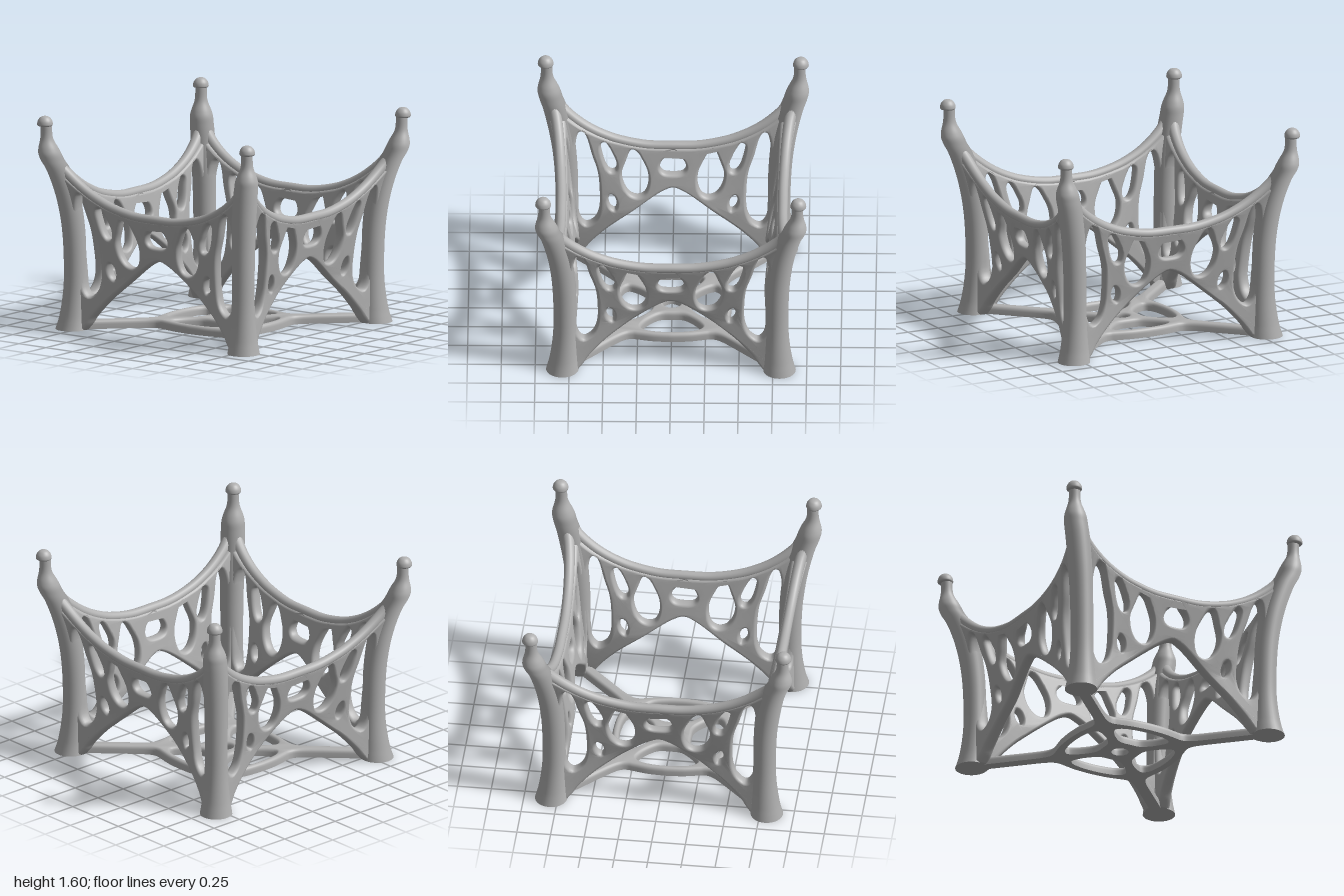
import * as THREE from 'three';
import { mergeVertices, toCreasedNormals } from 'three/addons/utils/BufferGeometryUtils.js';

const V2 = (p) => new THREE.Vector2(p[0], p[1]);
const mirror = (pts) => pts.map(([x, y]) => [-x, y]).reverse();
const spline = (pts, n) => new THREE.SplineCurve(pts.map(V2)).getPoints(n);

// smooth closed outline through a few points
function loop(pts, n = 48) {
  const c = new THREE.CatmullRomCurve3(pts.map(([x, y]) => new THREE.Vector3(x, y, 0)), true);
  return c.getPoints(n).slice(0, n).map((p) => new THREE.Vector2(p.x, p.y));
}

// post rule: diagonal offset, height, radius
const postCurve = new THREE.CatmullRomCurve3([
  [0.8, 0, 0.12], [0.795, 0.04, 0.113], [0.79, 0.1, 0.104], [0.783, 0.25, 0.09], [0.781, 0.4, 0.084],
  [0.79, 0.75, 0.086], [0.82, 1.0, 0.09], [0.87, 1.2, 0.09], [0.9, 1.27, 0.088], [0.915, 1.32, 0.085],
  [0.922, 1.36, 0.074], [0.93, 1.42, 0.051], [0.932, 1.46, 0.044], [0.933, 1.54, 0.042],
].map((p) => new THREE.Vector3(...p)));
const postRings = postCurve.getPoints(78);

function postOffset(y) {
  for (let i = 1; i < postRings.length; i++) {
    const a = postRings[i - 1], b = postRings[i];
    if (y <= b.y) return a.x + (b.x - a.x) * Math.max(0, (y - a.y) / (b.y - a.y));
  }
  return postRings[postRings.length - 1].x;
}

// depth of a side panel: leaning inward in the middle, following the posts at the ends
const endness = (x) => Math.min(1, (x / 0.8) ** 2);
function panelDepth(x, y) {
  const middle = 0.733 + 0.2 * (Math.max(y, 0.4) - 0.5);
  return THREE.MathUtils.lerp(middle, postOffset(y), endness(x));
}

const railHalf = [[0.2, 0.908], [0.4, 0.948], [0.5, 0.983], [0.6, 1.03], [0.7, 1.093], [0.8, 1.175], [0.87, 1.25]];
const railPoints = [...mirror(railHalf), [0, 0.903], ...railHalf];

// halve long edges so that a flat sheet can bend smoothly
function subdivide(geo, limit) {
  const p = geo.attributes.position, out = [], stack = [];
  for (let i = 0; i < p.count; i += 3) stack.push([0, 1, 2].map((k) => new THREE.Vector3().fromBufferAttribute(p, i + k)));
  while (stack.length) {
    const t = stack.pop();
    const len = t.map((v, k) => v.distanceTo(t[(k + 1) % 3]));
    const k = len.indexOf(Math.max(...len));
    if (len[k] < limit) { out.push(...t); continue; }
    const a = t[k], b = t[(k + 1) % 3], c = t[(k + 2) % 3];
    const mid = a.clone().add(b).multiplyScalar(0.5);
    stack.push([a, mid, c], [mid, b, c]);
  }
  return new THREE.BufferGeometry().setFromPoints(out);
}

function panelGeometry() {
  const side = [[0.87, 1.25], [0.83, 1.1], [0.8, 0.9], [0.785, 0.6], [0.785, 0.3], [0.795, 0.1], [0.8, 0]];
  const archHalf = [[0.03, 0.582], [0.1, 0.545], [0.2, 0.472], [0.4, 0.31], [0.5, 0.22], [0.6, 0.11], [0.64, 0.05], [0.68, 0]];
  const arch = [...archHalf.slice().reverse(), [0, 0.587], ...mirror(archHalf).reverse()];
  const outline = [
    ...spline(railPoints, 70).slice(0, -1), ...spline(side, 24),
    ...spline(arch, 80), ...spline(mirror(side), 24).slice(0, -1),
  ];
  const shape = new THREE.Shape(outline.reverse());

  // openings on one half, mirrored to the other
  const openings = [
    [[0.69, 1.03], [0.718, 0.93], [0.712, 0.71], [0.7, 0.45], [0.683, 0.31], [0.64, 0.26], [0.58, 0.3],
      [0.545, 0.39], [0.54, 0.55], [0.556, 0.71], [0.6, 0.85], [0.636, 0.98], [0.663, 1.025]],
    [[0.53, 0.93], [0.522, 0.85], [0.487, 0.745], [0.455, 0.713], [0.425, 0.722], [0.418, 0.78],
      [0.44, 0.84], [0.47, 0.9], [0.505, 0.943]],
    [[0.46, 0.525], [0.475, 0.48], [0.46, 0.425], [0.43, 0.405], [0.415, 0.45], [0.43, 0.505]],
    [[0.305, 0.885], [0.348, 0.79], [0.375, 0.71], [0.375, 0.66], [0.353, 0.585], [0.31, 0.53],
      [0.257, 0.515], [0.21, 0.54], [0.182, 0.62], [0.187, 0.71], [0.22, 0.79], [0.265, 0.865]],
  ];
  for (const o of openings) for (const pts of [o, mirror(o)]) shape.holes.push(new THREE.Path(loop(pts)));
  const centre = [[0.04, 0.84], [0.085, 0.79], [0.095, 0.74], [0.07, 0.705]];
  shape.holes.push(new THREE.Path(loop([[0, 0.88], ...centre, [0, 0.695], ...mirror(centre)])));

  const depth = 0.016;
  const flat = new THREE.ExtrudeGeometry(shape, {
    depth, bevelEnabled: true, bevelSize: 0.022, bevelOffset: -0.022, bevelThickness: 0.032, bevelSegments: 4,
  });
  flat.translate(0, 0, -depth / 2);
  const geo = subdivide(flat, 0.08);
  const p = geo.attributes.position;
  for (let i = 0; i < p.count; i++) {
    const x = p.getX(i), y = p.getY(i);
    p.setZ(i, panelDepth(x, y) + p.getZ(i) * (1 + 0.5 * endness(x) ** 2));
  }
  const smooth = mergeVertices(geo, 1e-5);
  smooth.computeVertexNormals();
  return smooth;
}

// round rail that thickens toward the posts
function railGeometry() {
  const path = new THREE.CatmullRomCurve3(railPoints.map(([x, y]) => new THREE.Vector3(x, y, panelDepth(x, y) + 0.003)));
  const rings = 64, sides = 16;
  const geo = new THREE.TubeGeometry(path, rings, 0.037, sides);
  const p = geo.attributes.position, v = new THREE.Vector3();
  for (let i = 0; i < p.count; i++) {
    const c = path.getPointAt(Math.floor(i / (sides + 1)) / rings);
    v.fromBufferAttribute(p, i).sub(c).multiplyScalar(1 + 0.25 * Math.abs(c.x / 0.87) ** 4).add(c);
    p.setXYZ(i, v.x, v.y, v.z);
  }
  return geo;
}

// lathe bent outward along the corner diagonal
function postGeometry() {
  const geo = new THREE.LatheGeometry(postRings.map((r) => new THREE.Vector2(r.z, r.y)), 32);
  const p = geo.attributes.position;
  for (let i = 0; i < p.count; i++) {
    const c = postRings[i % postRings.length].x;
    p.setXYZ(i, p.getX(i) + c, p.getY(i), p.getZ(i) + c);
  }
  return geo;
}

// flat-bottomed cross with a rounded ring
function baseGeometry() {
  const arm = [[0, 0.44], [0.13, 0.432], [0.24, 0.41], [0.29, 0.402], [0.34, 0.415], [0.41, 0.47], [0.55, 0.61], [0.76, 0.82]];
  const edge = spline(arm, 30);
  const quarter = [...edge, ...edge.map((q) => new THREE.Vector2(q.y, q.x)).reverse().slice(0, -1)];
  const origin = new THREE.Vector2();
  const turn = (pts, k) => pts.map((q) => q.clone().rotateAround(origin, -k * Math.PI / 2));
  const shape = new THREE.Shape([0, 1, 2, 3].flatMap((k) => turn(quarter, k)).reverse());
  const half = [[0.1, 0.381], [0.19, 0.358], [0.226, 0.32], [0.205, 0.265], [0.14, 0.19], [0.08, 0.15]];
  const opening = loop([[0, 0.388], ...half, [0, 0.145], ...mirror(half)]);
  for (let k = 0; k < 4; k++) shape.holes.push(new THREE.Path(turn(opening, k)));
  shape.holes.push(new THREE.Path().absarc(0, 0, 0.064, 0, Math.PI * 2, true));
  const geo = new THREE.ExtrudeGeometry(shape, {
    depth: 0.035, bevelEnabled: true, bevelSize: 0.022, bevelOffset: -0.022,
    bevelThickness: 0.03, bevelSegments: 4, curveSegments: 24,
  });
  geo.rotateX(-Math.PI / 2);
  // press the lower bevel flat against the ground
  const p = geo.attributes.position;
  for (let i = 0; i < p.count; i++) p.setY(i, Math.max(0, p.getY(i)));
  // creasing compares coarse positions, so it is done at a larger scale
  return toCreasedNormals(geo.scale(50, 50, 50), 0.9).scale(0.02, 0.02, 0.02);
}

export function createModel() {
  const model = new THREE.Group();
  model.name = 'latticeStand';
  const grey = new THREE.MeshStandardMaterial({ color: 0xb0b0b0 });
  grey.name = 'grey';

  // domed knob on each post
  const knob = new THREE.LatheGeometry(spline([
    [0.001, 1.525], [0.042, 1.525], [0.056, 1.532], [0.058, 1.545], [0.052, 1.568], [0.035, 1.59], [0.015, 1.599], [0.0001, 1.6],
  ], 24), 28);
  knob.translate(0.94, 0, 0.94);
  const sole = new THREE.CircleGeometry(0.12, 32).rotateX(Math.PI / 2).translate(0.8, 0, 0.8);

  const parts = { sidePanel: panelGeometry(), topRail: railGeometry(), cornerPost: postGeometry(), postKnob: knob, footSole: sole };
  for (let k = 0; k < 4; k++) {
    const side = new THREE.Group();
    side.name = 'side' + (k + 1);
    side.rotation.y = k * Math.PI / 2;
    for (const [name, geo] of Object.entries(parts)) {
      const mesh = new THREE.Mesh(geo, grey);
      mesh.name = name;
      side.add(mesh);
    }
    model.add(side);
  }

  const base = new THREE.Mesh(baseGeometry(), grey);
  base.name = 'baseCross';
  model.add(base);
  return model;
}
